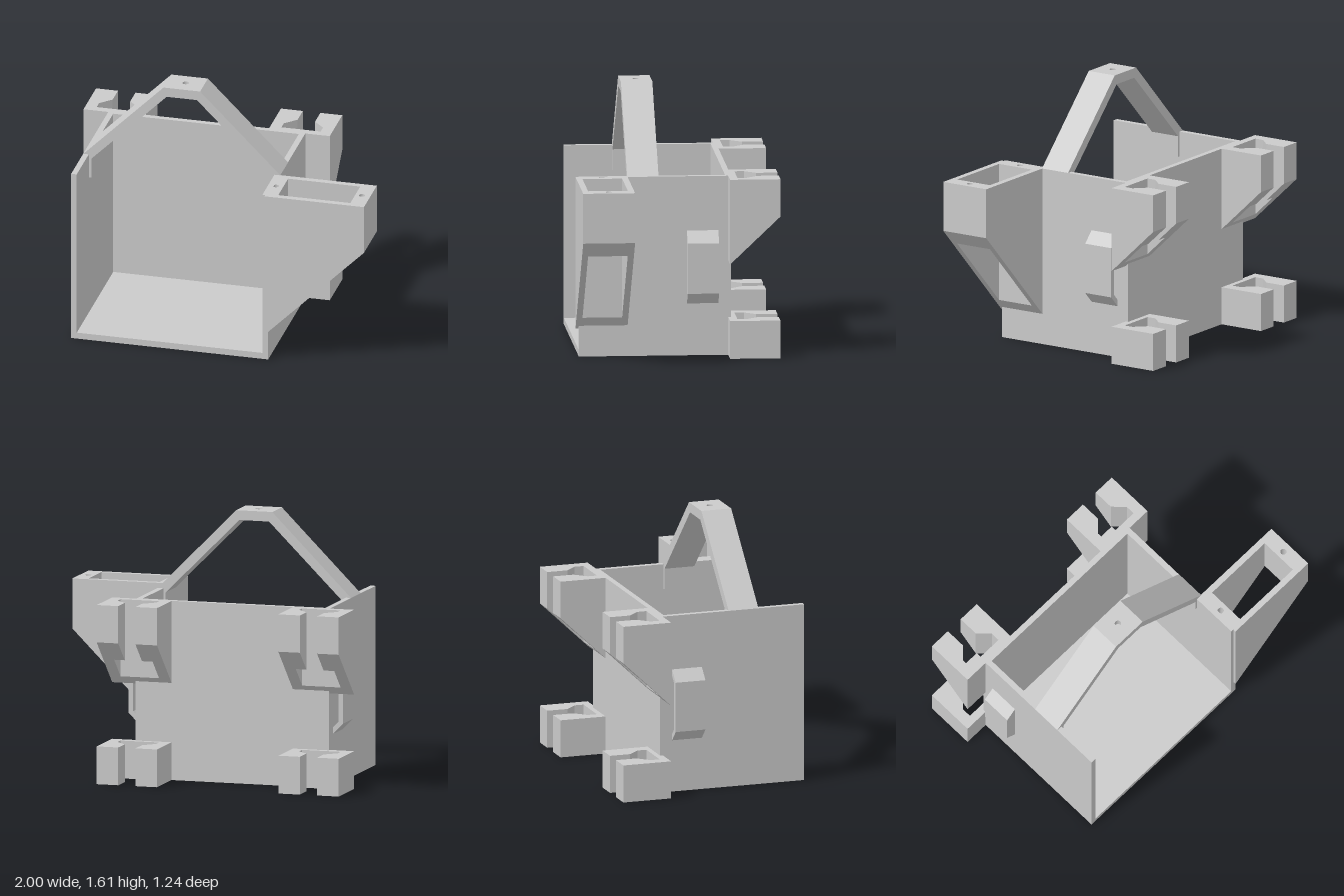
import * as THREE from 'three';

const MID = -0.225; // x of the bin's own centre line

export function createModel() {
  const model = new THREE.Group();
  const grey = new THREE.MeshStandardMaterial({ color: 0xcacaca });
  grey.name = 'grey plastic';

  const add = (name, geometry) => {
    const mesh = new THREE.Mesh(geometry, grey);
    mesh.name = name;
    model.add(mesh);
    return mesh;
  };
  const block = (name, x0, x1, y0, y1, z0, z1) =>
    add(name, new THREE.BoxGeometry(x1 - x0, y1 - y0, z1 - z0))
      .position.set((x0 + x1) / 2, (y0 + y1) / 2, (z0 + z1) / 2);

  const rect = (x0, x1, z0, z1) => [[x0, z0], [x1, z0], [x1, z1], [x0, z1]];
  const circle = (x, z, r) => Array.from({ length: 20 }, (_, i) => {
    const a = i / 20 * Math.PI * 2;
    return [x + r * Math.cos(a), z + r * Math.sin(a)];
  });

  // Upright prism from an x/z plan; "reshape" may move the bottom corners.
  const upright = (name, plan, holes, y0, y1, reshape) => {
    const toVec = ([x, z]) => new THREE.Vector2(x, -z);
    const shape = new THREE.Shape(plan.map(toVec));
    // Holes wind against the outline so that their walls face inwards
    shape.holes = holes.map(h => new THREE.Path(h.map(toVec).reverse()));
    const g = new THREE.ExtrudeGeometry(shape, { depth: y1 - y0, bevelEnabled: false });
    g.rotateX(-Math.PI / 2).translate(0, y0, 0);
    if (reshape) {
      const p = g.attributes.position;
      for (let i = 0; i < p.count; i++) {
        if (p.getY(i) < y0 + 1e-4) p.setXYZ(i, ...reshape(p.getX(i), p.getZ(i)));
      }
      g.computeVertexNormals();
    }
    return add(name, g);
  };

  // Prism along z from an x/y profile, mirrored about the bin's centre line.
  const sideways = (name, side, profile, z0, z1) => {
    const shape = new THREE.Shape(profile.map(([x, y]) => new THREE.Vector2(MID + side * x, y)));
    const g = new THREE.ExtrudeGeometry(shape, { depth: z1 - z0, bevelEnabled: false });
    return add(name, g.translate(0, 0, z0));
  };

  // Open-fronted bin
  block('floor', -0.845, 0.393, 0, 0.04, -0.33, 0.6);
  block('backWall', -0.845, 0.393, 0.04, 1.105, -0.33, -0.295);
  block('rightWall', -0.845, -0.81, 0.04, 1.105, -0.295, 0.6);
  block('leftWall', 0.357, 0.393, 0.04, 1.105, -0.295, 0.6);

  // Carrying arch with a drilled top
  upright('handleTop', rect(MID - 0.115, MID + 0.115, 0.113, 0.305), [circle(MID, 0.207, 0.02)],
    1.55, 1.61, (x, z) => [x < MID - 0.05 ? MID - 0.095 : x > MID + 0.05 ? MID + 0.095 : x, 1.55, z]);
  for (const side of [-1, 1]) {
    sideways('handleArm', side, [[0.115, 1.61], [0.619, 1.105], [0.585, 1.105], [0.585, 0.95],
      [0.567, 0.95], [0.567, 1.08], [0.095, 1.55]], 0.113, 0.305);

    // Hollow side loop, closed towards the front
    sideways('sideLoop', side, [[0.618, 0.77], [0.687, 0.7], [0.687, 0.39], [0.618, 0.32],
      [0.618, 0.36], [0.657, 0.4], [0.657, 0.69], [0.618, 0.73]], -0.252, -0.09);
    sideways('sideLoopEnd', side, [[0.618, 0.77], [0.687, 0.7], [0.687, 0.39], [0.618, 0.32]],
      -0.09, -0.06);
  }

  // Side pocket with a sloping open bottom and two blind screw holes
  const pocket = rect(0.375, 1, 0.302, 0.619);
  const opening = rect(0.452, 0.905, 0.34, 0.582);
  upright('pocketRim', pocket, [opening, circle(0.407, 0.459, 0.019), circle(0.947, 0.459, 0.019)],
    0.98, 1.105);
  upright('pocketBody', pocket, [opening], 0.2, 0.98, (x, z) => [x, x - 0.203, z]);

  // Four slotted hooks on the back
  const flip = pts => pts.map(([x, z]) => [-x, z]).reverse();
  const hookPlan = (cx, outer, slot) =>
    [...outer, ...flip(outer), ...flip(slot), ...slot].map(([x, z]) => [cx + x, z]);
  const slope = (x, z) => [x, 0.582 - (z + 0.312) * 0.95, z];
  const NECK = -0.49;
  const neckY = slope(0, NECK)[1];
  for (const cx of [-0.808, 0.354]) {
    const slot = [[0.123, -0.362], [0.123, -0.42], [0.055, NECK]];
    upright('lowerHook', hookPlan(cx, [[0.055, -0.62], [0.193, -0.62], [0.193, -0.312]], slot),
      [], 0, 0.233);

    // Upper hook: sloping prongs, a necked body and a wider tapered foot
    for (const side of [-1, 1]) {
      const mid = cx + side * 0.124;
      upright('upperHookProng', rect(mid - 0.069, mid + 0.069, -0.62, NECK), [], 0.585, 1.105, slope);
    }
    const root = [[0.193, NECK], [0.193, -0.312]];
    upright('upperHookBody', hookPlan(cx, root, slot), [], neckY, 1.105);
    upright('upperHookFoot', hookPlan(cx, root, [[0.123, -0.362], [0.123, NECK]]),
      [], 0.585, neckY, slope);
  }

  return model;
}
